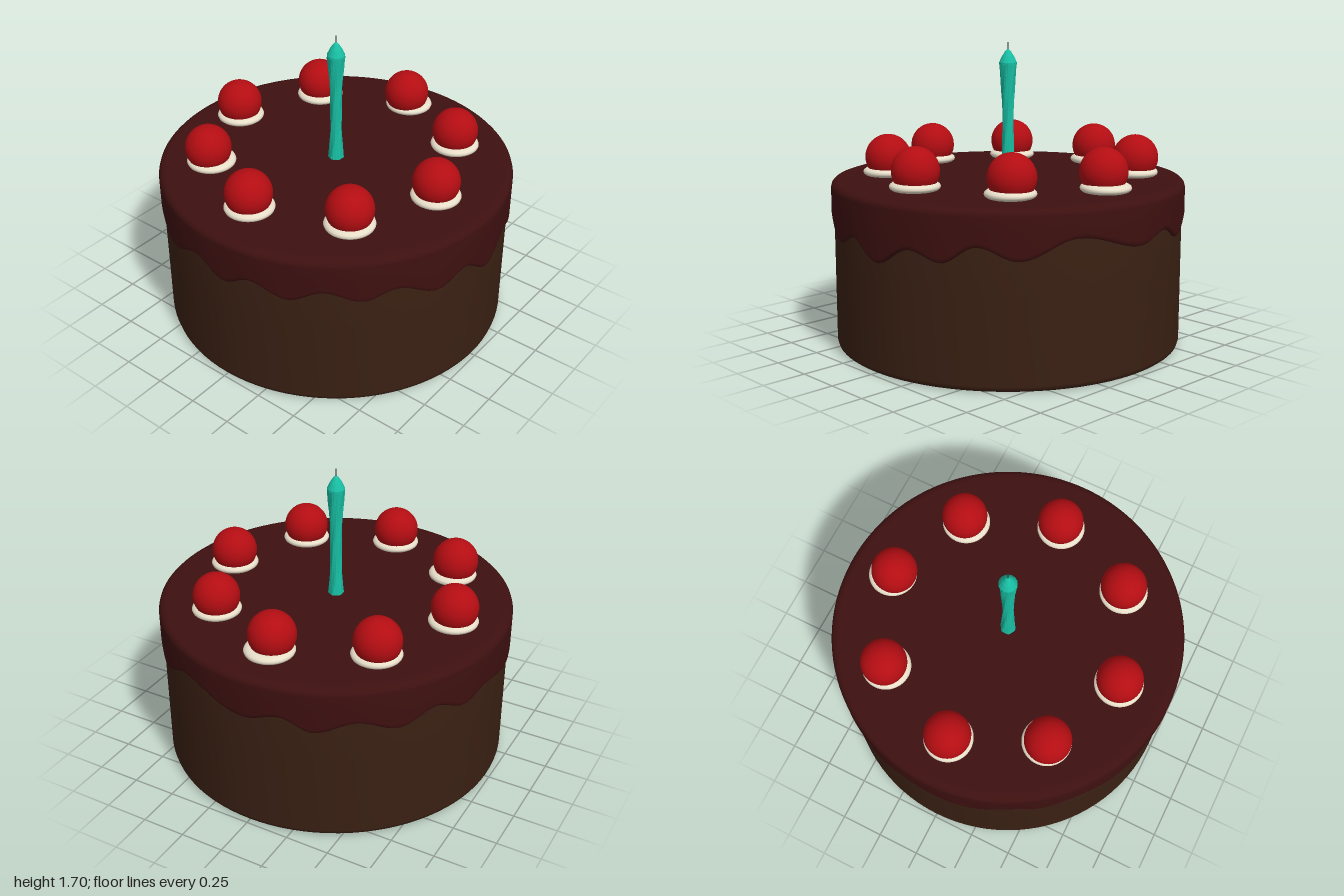
import * as THREE from 'three';

const mat = (color, extra = {}) => new THREE.MeshStandardMaterial({ color, ...extra });

function addMesh(parent, name, geometry, material, x = 0, y = 0, z = 0) {
  const mesh = new THREE.Mesh(geometry, material);
  mesh.name = name;
  mesh.position.set(x, y, z);
  parent.add(mesh);
  return mesh;
}

const lathe = (pts, segments) =>
  new THREE.LatheGeometry(pts.map(([r, y]) => new THREE.Vector2(r, y)), segments);

// Crests and drips of the icing's lower edge: [degrees from the front, height]
const drips = [
  [-180, 0.7], [-168, 0.75], [-158, 0.68], [-145, 0.74], [-132, 0.68], [-120, 0.75],
  [-108, 0.68], [-99, 0.72], [-78, 0.67], [-62, 0.74], [-52, 0.69], [-42, 0.73],
  [-23.6, 0.67], [-9, 0.755], [2, 0.68], [11.5, 0.745], [23.6, 0.68], [34.5, 0.745],
  [46.5, 0.685], [56.5, 0.737], [71, 0.65], [81, 0.71], [93, 0.61], [106, 0.71],
  [116, 0.66], [127, 0.75], [139, 0.68], [157, 0.785], [180, 0.7],
];

// Ease smoothly from one crest or drip to the next
function dripHeight(deg) {
  const a = deg > 180 ? deg - 360 : deg;
  let i = 1;
  while (i < drips.length - 1 && drips[i][0] < a) i++;
  const [a0, h0] = drips[i - 1];
  const [a1, h1] = drips[i];
  const t = (a - a0) / (a1 - a0);
  return h0 + (h1 - h0) * (0.5 - 0.5 * Math.cos(Math.PI * t));
}

// Icing: a lathe whose lower rows follow the drip line
function icingGeometry() {
  const segments = 240;
  const base = 0.7;
  const top = 0.945;
  const profile = [
    [0.975, base], [0.99, base], [0.998, base + 0.008], [1, base + 0.025], [1, 0.82],
    [1, 0.905], [0.995, 0.923], [0.982, 0.937], [0.96, 0.944], [0.93, top], [0, top],
  ];
  const geo = lathe(profile, segments);
  const pos = geo.attributes.position;
  for (let s = 0; s <= segments; s++) {
    const shift = dripHeight((s / segments) * 360) - base;
    for (let j = 0; j < 5; j++) {
      const k = s * profile.length + j;
      pos.setY(k, pos.getY(k) + shift * (j === 4 ? 0.5 : 1));
    }
  }
  return geo;
}

// Candle: waisted column with twisted ribs
function candleGeometry() {
  const bottom = 0.94, top = 1.58, rows = 28;
  const profile = [];
  for (let i = 0; i <= rows; i++) {
    const t = i / rows;
    profile.push([0.031 + 0.018 * Math.pow(Math.abs(2 * t - 0.9) / 1.1, 2), bottom + (top - bottom) * t]);
  }
  const geo = lathe(profile, 24);
  const pos = geo.attributes.position;
  for (let i = 0; i < pos.count; i++) {
    const x = pos.getX(i), y = pos.getY(i), z = pos.getZ(i);
    const twist = ((y - bottom) / (top - bottom)) * Math.PI * 0.75;
    const k = 1 + 0.06 * Math.cos(6 * (Math.atan2(x, z) - twist));
    pos.setXYZ(i, x * k, y, z * k);
  }
  return geo;
}

export function createModel() {
  const cake = new THREE.Group();
  cake.name = 'cake';

  // Sponge with rounded lower rim
  addMesh(cake, 'sponge', lathe([
    [0, 0], [0.94, 0], [0.965, 0.004], [0.979, 0.014], [0.985, 0.035],
    [0.985, 0.5], [0.985, 0.9], [0.95, 0.93], [0, 0.93],
  ], 96), mat(0x3a2013));

  addMesh(cake, 'icing', icingGeometry(), mat(0x3e1010, { side: THREE.DoubleSide }));

  // Cherries on cream rings: [cherry x, cherry z, cream x, cream z]
  const creamMat = mat(0xe8dfca);
  const cherryMat = mat(0xb30d12);
  const creamGeo = new THREE.TorusGeometry(0.098, 0.04, 14, 48);
  creamGeo.rotateX(Math.PI / 2).scale(1, 0.6, 1);
  const cherryGeo = new THREE.SphereGeometry(0.13, 40, 28);
  [
    [-0.015, -0.71, -0.01, -0.73], [0.465, -0.51, 0.47, -0.505],
    [0.68, 0, 0.683, 0.003], [0.477, 0.49, 0.48, 0.495],
    [-0.033, 0.7, -0.03, 0.7], [-0.515, 0.497, -0.505, 0.487],
    [-0.73, 0, -0.725, 0], [-0.522, -0.502, -0.515, -0.497],
  ].forEach(([x, z, cx, cz]) => {
    addMesh(cake, 'creamRing', creamGeo, creamMat, cx, 0.967, cz);
    addMesh(cake, 'cherry', cherryGeo, cherryMat, x, 1.05, z);
  });

  // Candle with pointed cap and wick
  const candle = new THREE.Group();
  candle.name = 'candle';
  cake.add(candle);
  const wax = mat(0x18bfa4, { flatShading: true });
  addMesh(candle, 'candleColumn', candleGeometry(), wax);
  addMesh(candle, 'candleTip', lathe([
    [0, 1.576], [0.05, 1.576], [0.05, 1.588], [0.034, 1.622], [0.016, 1.65], [0, 1.665],
  ], 16), wax);
  addMesh(candle, 'wick', new THREE.CylinderGeometry(0.003, 0.004, 0.06, 8), mat(0x2a2420), 0, 1.67, 0);

  return cake;
}
